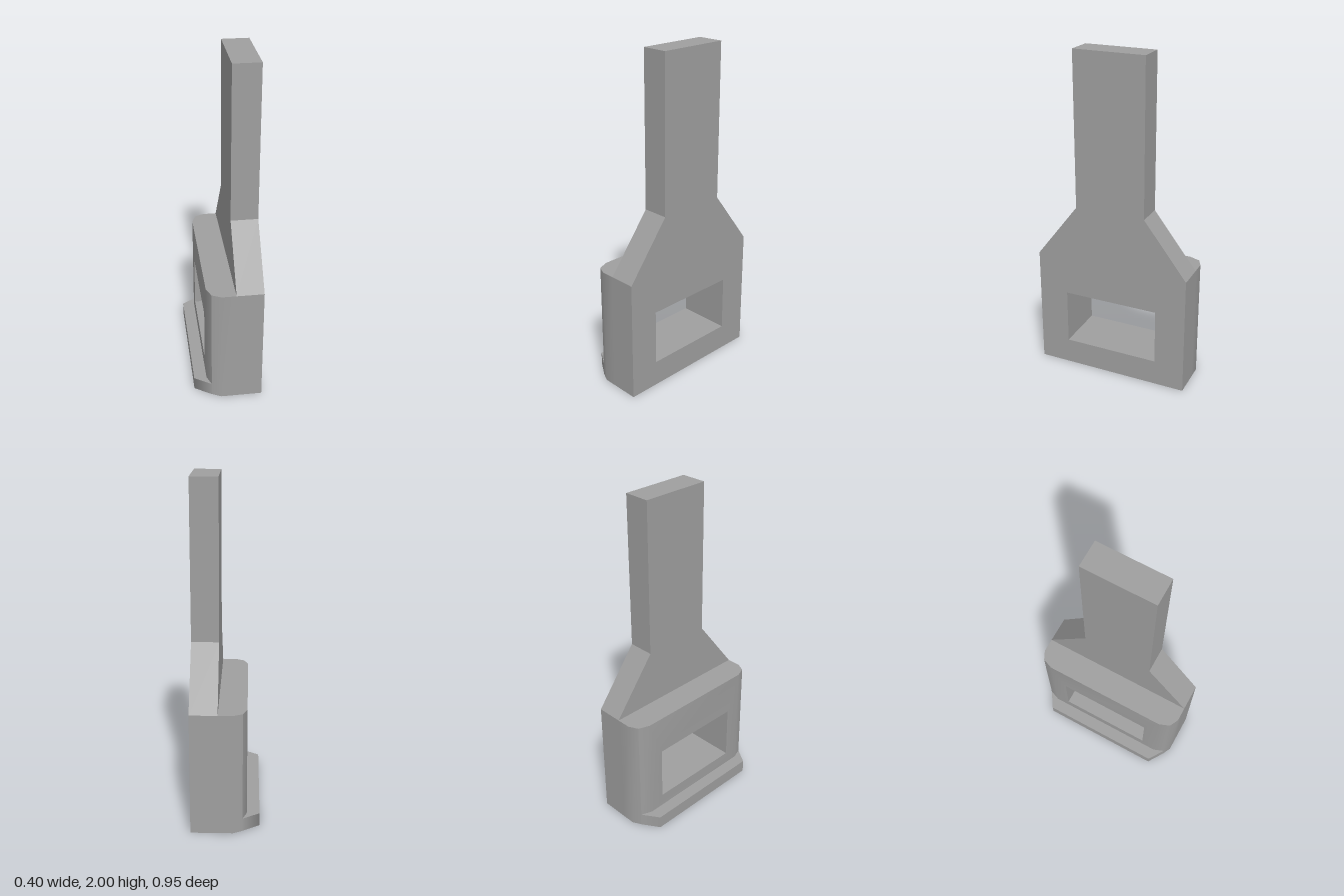
import * as THREE from 'three';
import { toCreasedNormals } from 'three/addons/utils/BufferGeometryUtils.js';

const HALF = 0.477, SHOULDER = 0.735;

// Closed shape from a list of points
const outline = (pts) => new THREE.Shape(pts.map(([a, b]) => new THREE.Vector2(a, b)));

// Rectangular window that passes through both the plate and the block
const withWindow = (shape) => {
  const pts = [[-0.293, 0.158], [-0.293, 0.496], [0.293, 0.496], [0.293, 0.158]];
  shape.holes.push(new THREE.Path(pts.map(([a, b]) => new THREE.Vector2(a, b))));
  return shape;
};

export function createModel() {
  const group = new THREE.Group();
  const material = new THREE.MeshStandardMaterial({ color: 0x9f9f9f });
  const add = (name, geometry) => {
    const mesh = new THREE.Mesh(geometry, material);
    mesh.name = name;
    group.add(mesh);
  };

  // Paddle-shaped plate: wide base, sloped shoulders and a long handle
  const plate = new THREE.ExtrudeGeometry(withWindow(outline([
    [-HALF, 0], [HALF, 0], [HALF, SHOULDER], [0.215, 1.075],
    [0.215, 2], [-0.215, 2], [-0.215, 1.075], [-HALF, SHOULDER],
  ])), { depth: 0.16, bevelEnabled: false });
  plate.rotateY(-Math.PI / 2).translate(0.2, 0, 0);
  add('handlePlate', plate);

  // Block behind the plate: each extrusion step gets its own x and half width,
  // which bevels the two upright corners while the window stays straight
  const levels = [[0.04, HALF], [-0.045, HALF], [-0.1, 0.45], [-0.125, 0.385]];
  const block = new THREE.ExtrudeGeometry(withWindow(outline([
    [-HALF, 0], [HALF, 0], [HALF, SHOULDER], [-HALF, SHOULDER],
  ])), { depth: 3, steps: 3, bevelEnabled: false });
  block.rotateY(-Math.PI / 2);
  const pos = block.attributes.position;
  for (let i = 0; i < pos.count; i++) {
    const [x, half] = levels[Math.round(-pos.getX(i))];
    const z = pos.getZ(i);
    pos.setX(i, x);
    if (Math.abs(z) > 0.4) pos.setZ(i, Math.sign(z) * half);
  }
  // The shallow first bevel blends into the side, the second stays sharp
  add('baseBlock', toCreasedNormals(block, 0.6));

  // Low lip along the bottom edge of the block
  const lip = new THREE.ExtrudeGeometry(outline([
    [-0.1, 0.45], [-0.2, 0.385], [-0.2, -0.385], [-0.1, -0.45],
    [-0.125, -0.385], [-0.125, 0.385],
  ]), { depth: 0.08, bevelEnabled: false });
  lip.rotateX(-Math.PI / 2);
  // Blend the slanted ends softly into the long outer face
  const lipPos = lip.attributes.position, normal = lip.attributes.normal;
  for (let i = 0; i < lipPos.count; i++) {
    if (lipPos.getX(i) < -0.19 && Math.abs(normal.getY(i)) < 0.5) normal.setXYZ(i, -1, 0, 0);
  }
  add('bottomLip', lip);

  return group;
}
